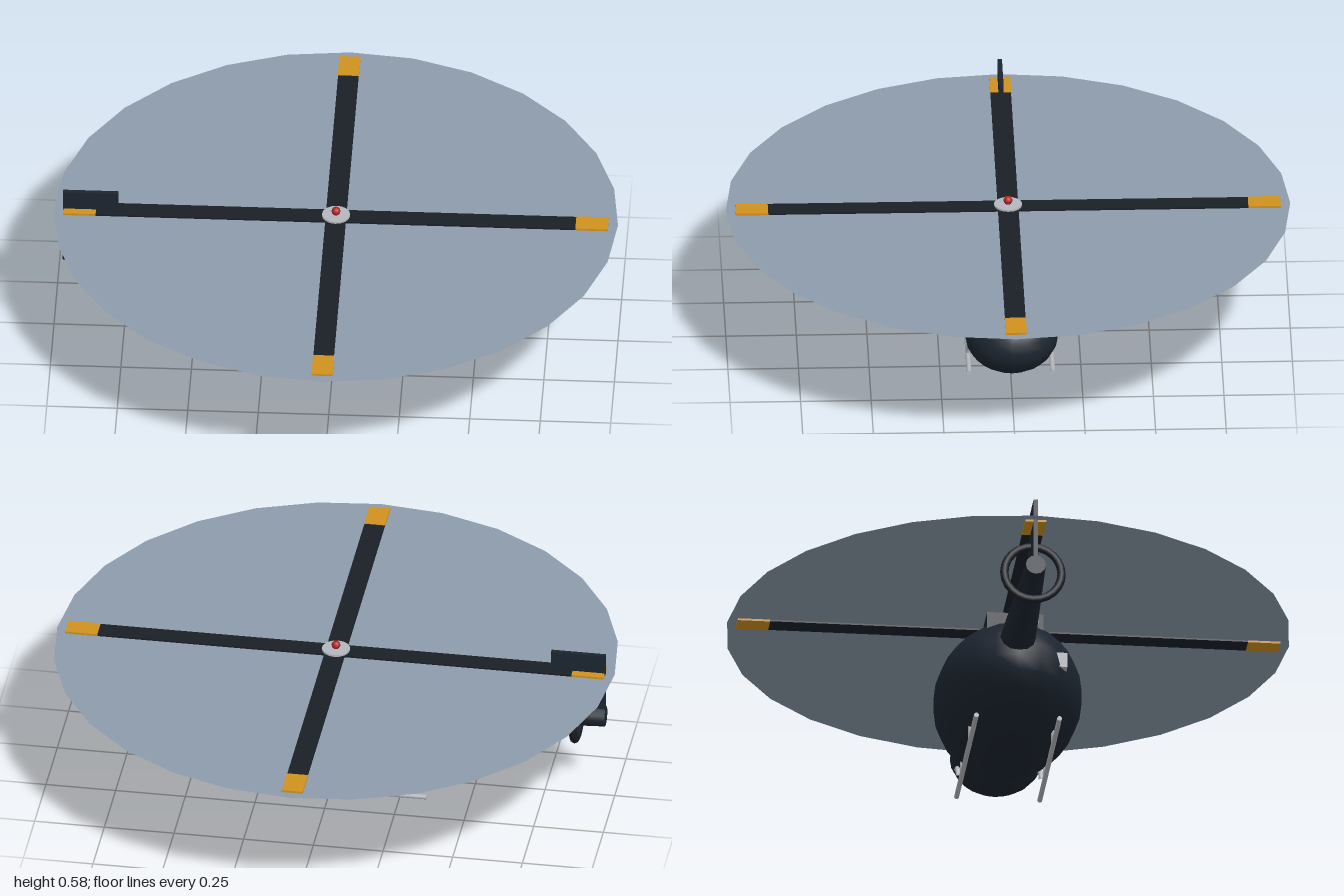
import * as THREE from 'three';

const mat = (color, side = THREE.FrontSide) => new THREE.MeshStandardMaterial({ color, side });
const navy = mat(0x1c2530);
const black = mat(0x1a1f26);
const glass = mat(0x24456b, THREE.DoubleSide);
const amber = mat(0xd0921e);
const metal = mat(0xb4b8be);
const discGrey = mat(0x8c9bab, THREE.DoubleSide);
const red = mat(0xb02525);

export function createModel() {
  const model = new THREE.Group();

  const add = (name, geometry, material, x = 0, y = 0, z = 0, parent = model) => {
    const mesh = new THREE.Mesh(geometry, material);
    mesh.name = name;
    mesh.position.set(x, y, z);
    parent.add(mesh);
    return mesh;
  };
  const box = (w, h, d) => new THREE.BoxGeometry(w, h, d);
  const ellipsoid = (rx, ry, rz, w, h, theta = Math.PI) =>
    new THREE.SphereGeometry(1, w, h, 0, Math.PI * 2, 0, theta).scale(rx, ry, rz);
  // Cylinder lying along x, r1 at its +x end
  const rodX = (r1, r2, length, sides) =>
    new THREE.CylinderGeometry(r1, r2, length, sides).rotateZ(-Math.PI / 2);

  // Body, nose and canopy
  add('fuselage', ellipsoid(0.405, 0.249, 0.263, 20, 14), navy, 0.017, 0.254, 0);
  add('nose', ellipsoid(0.165, 0.131, 0.165, 18, 12), navy, 0.41, 0.215, 0);
  add('canopy', ellipsoid(0.27, 0.22, 0.212, 20, 8, Math.PI / 2), glass, 0.2, 0.27, 0);

  // Engine housing, exhaust and side panel
  add('engineHousing', box(0.25, 0.1, 0.2), navy, -0.125, 0.425, 0);
  add('exhaust', rodX(0.021, 0.021, 0.1, 12), metal, -0.232, 0.435, 0.06);
  add('sidePanel', box(0.05, 0.055, 0.04), metal, -0.287, 0.272, 0.16);

  // Tail
  add('tailBoom', rodX(0.072, 0.036, 0.82, 12), navy, -0.558, 0.332, 0);
  add('tailFin', box(0.195, 0.23, 0.016), navy, -0.87, 0.471, 0);
  add('tailRing', new THREE.TorusGeometry(0.102, 0.015, 8, 24).rotateY(Math.PI / 2),
    black, -0.865, 0.346, 0);

  // Main rotor
  const rotor = new THREE.Group();
  rotor.name = 'mainRotor';
  rotor.position.y = 0.508;
  model.add(rotor);
  add('rotorDisc', new THREE.CircleGeometry(1, 28).rotateX(-Math.PI / 2).rotateY(Math.PI / 2),
    discGrey, 0, 0, 0, rotor);
  for (let i = 0; i < 4; i++) {
    const blade = new THREE.Group();
    blade.name = 'blade';
    blade.rotation.y = (i * Math.PI) / 2;
    rotor.add(blade);
    add('bladeSpar', box(0.852, 0.012, 0.073), black, 0.426, 0, 0, blade);
    add('bladeTip', box(0.115, 0.015, 0.075), amber, 0.908, 0, 0, blade);
  }
  add('hub', new THREE.CylinderGeometry(0.05, 0.05, 0.026, 16), metal, 0, 0, 0, rotor);
  add('beacon', new THREE.SphereGeometry(0.016, 12, 8), red, 0, 0.026, 0, rotor);

  // Landing gear
  for (const side of [1, -1]) {
    const gear = new THREE.Group();
    gear.name = side > 0 ? 'skidNear' : 'skidFar';
    gear.position.z = side * 0.148;
    model.add(gear);
    add('skidRail', rodX(0.009, 0.009, 0.69, 10), metal, -0.004, 0.025, 0, gear);
    for (const x of [-0.133, 0.153])
      add('skidStrut', new THREE.CylinderGeometry(0.008, 0.008, 0.09, 8), metal, x, 0.065, 0, gear);
    const curl = new THREE.TorusGeometry(0.048, 0.009, 8, 8, Math.PI / 2).rotateZ(Math.PI / 2);
    add('skidCurl', curl, metal, 0.34, 0.082, 0, gear);
  }

  return model;
}
